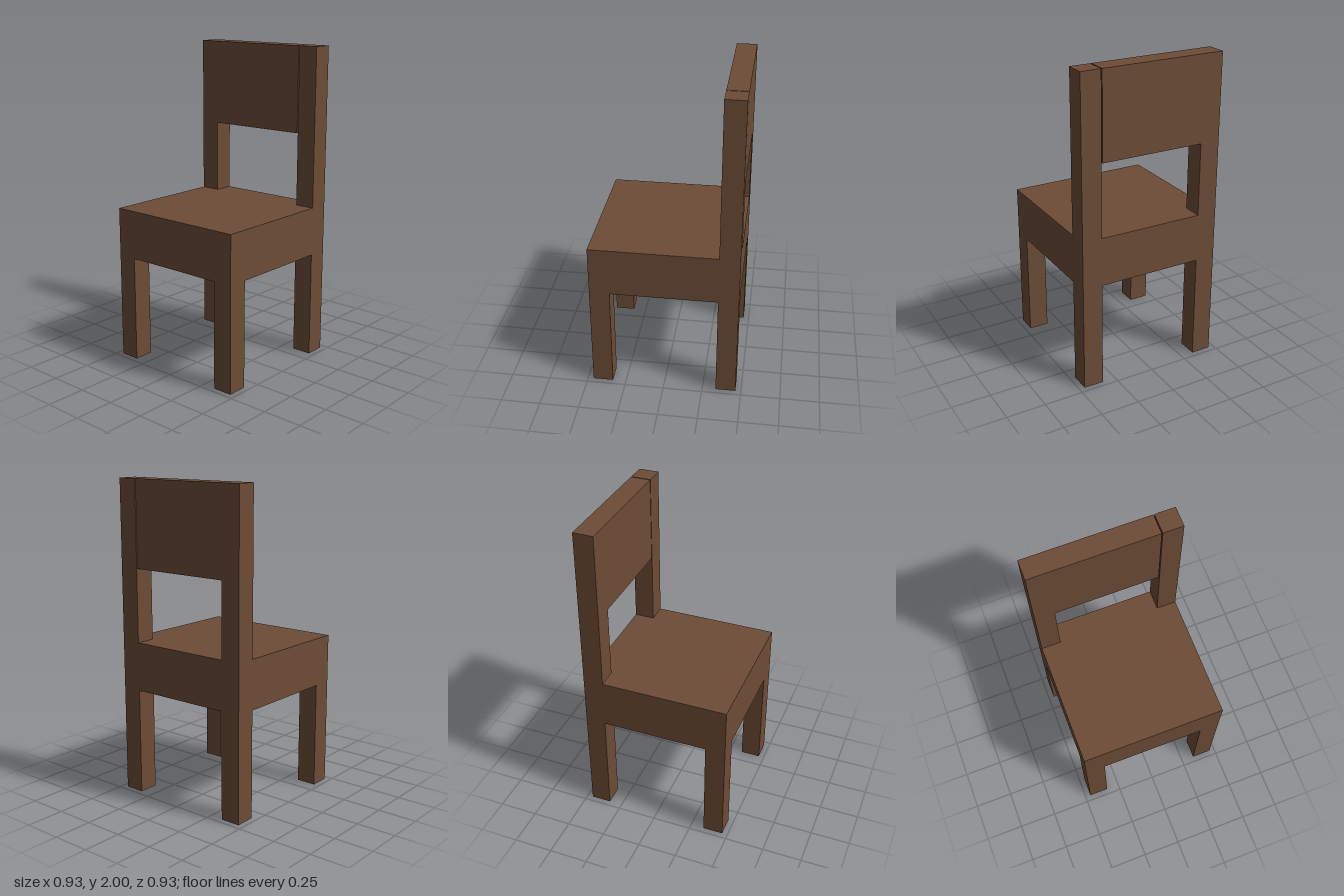
import * as THREE from 'three';

const wood = new THREE.MeshStandardMaterial({ color: 0x6d4c36 });
wood.name = 'brown wood';

// Box given by its lower and upper corners
function block(name, [x0, y0, z0], [x1, y1, z1]) {
  const geometry = new THREE.BoxGeometry(x1 - x0, y1 - y0, z1 - z0);
  const mesh = new THREE.Mesh(geometry, wood);
  mesh.position.set((x0 + x1) / 2, (y0 + y1) / 2, (z0 + z1) / 2);
  mesh.name = name;
  return mesh;
}

export function createModel() {
  const chair = new THREE.Group();
  chair.name = 'chair';

  const half = 0.464; // half of the seat's width and depth
  const inner = 0.336; // inner face of legs and posts
  const seatBottom = 0.68;
  const seatTop = 0.99;
  const top = 2;

  // Thick seat
  chair.add(block('seat', [-half, seatBottom, -half], [half, seatTop, half]));

  for (const [side, x0, x1] of [['right', -half, -inner], ['left', inner, half]]) {
    // Front and back legs
    chair.add(block(`${side}FrontLeg`, [x0, 0, inner], [x1, seatBottom, half]));
    chair.add(block(`${side}BackLeg`, [x0, 0, -half], [x1, seatBottom, -inner]));
    // Back posts continue the back legs above the seat
    chair.add(block(`${side}BackPost`, [x0, seatTop, -half], [x1, top, -inner]));
  }

  // Backrest, stopping just short of the left post
  chair.add(block('backrest', [-inner, 1.455, -half], [0.33, top, -inner]));

  return chair;
}
